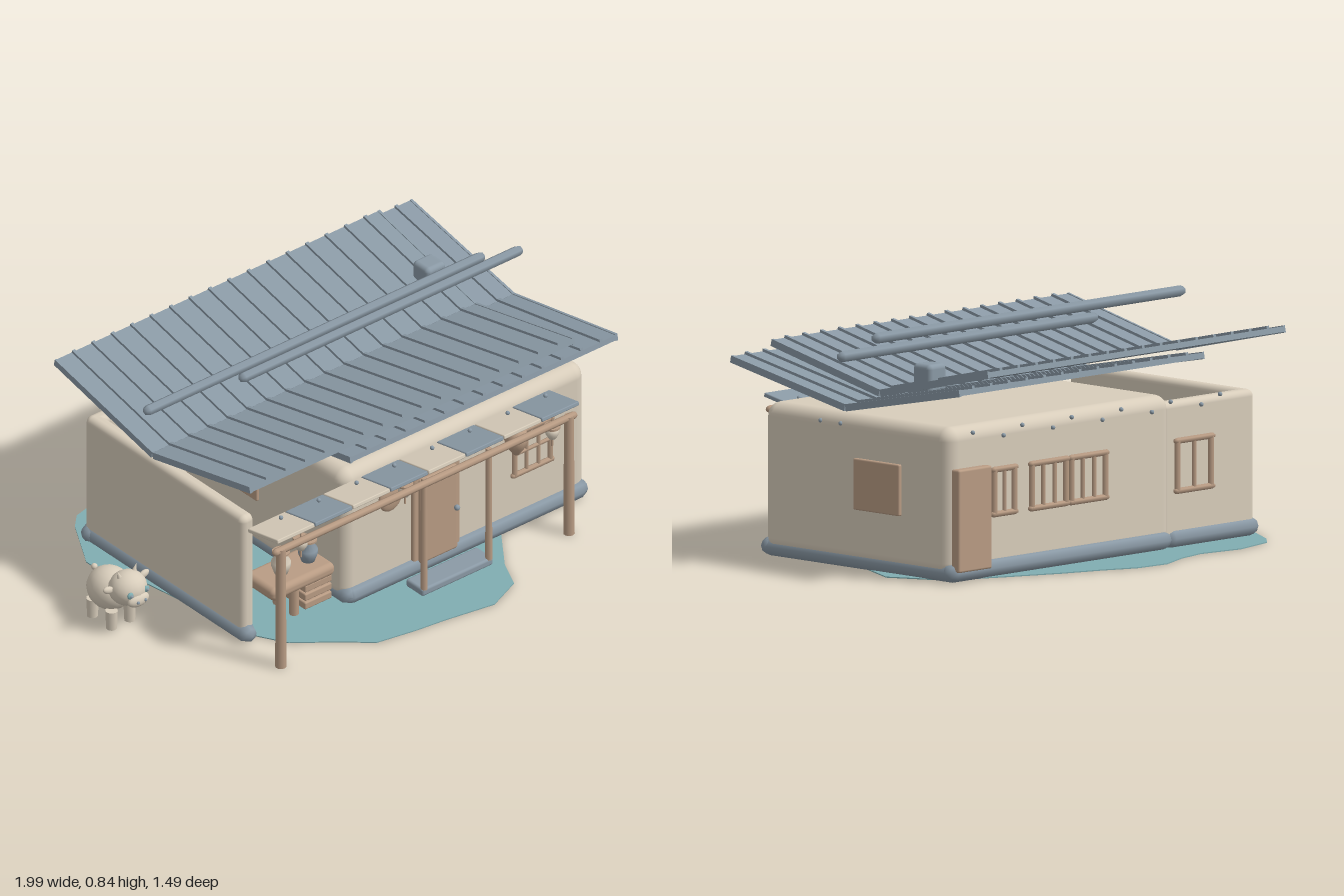
import * as THREE from 'three';
import { RoundedBoxGeometry } from 'three/addons/geometries/RoundedBoxGeometry.js';

const mat = (name, color) => Object.assign(new THREE.MeshStandardMaterial({ color }), { name });

export function createModel() {
  const cream = mat('cream plaster', 0xd8cdbb);
  const wood = mat('warm wood', 0xb99c84);
  const slate = mat('slate grey', 0x8b9aa6);
  const teal = mat('teal ground', 0x80adb1);
  const root = new THREE.Group();
  root.name = 'house';

  const group = (name, parent = root) => {
    const g = new THREE.Group();
    g.name = name;
    parent.add(g);
    return g;
  };
  const add = (parent, name, geo, m, x, y, z) => {
    const mesh = new THREE.Mesh(geo, m);
    mesh.name = name;
    mesh.position.set(x, y, z);
    parent.add(mesh);
    return mesh;
  };
  // Rounded block given by its limits
  const block = (parent, name, m, [x0, x1], [y0, y1], [z0, z1], r = 0.006, seg = 2) =>
    add(parent, name, new RoundedBoxGeometry(x1 - x0, y1 - y0, z1 - z0, seg, r), m,
      (x0 + x1) / 2, (y0 + y1) / 2, (z0 + z1) / 2);
  // Round-ended log between two points
  const log = (parent, name, m, a, b, r, sides = 8) => {
    const p = new THREE.Vector3(...a), q = new THREE.Vector3(...b), d = q.clone().sub(p);
    const c = p.clone().add(q).multiplyScalar(0.5);
    const mesh = add(parent, name, new THREE.CapsuleGeometry(r, Math.max(d.length() - 2 * r, 0.001), 2, sides), m, c.x, c.y, c.z);
    mesh.quaternion.setFromUnitVectors(new THREE.Vector3(0, 1, 0), d.normalize());
    return mesh;
  };
  const ball = (parent, name, m, x, y, z, r, sx = 1, sy = 1, sz = 1) => {
    const mesh = add(parent, name, new THREE.SphereGeometry(r, 16, 12), m, x, y, z);
    mesh.scale.set(sx, sy, sz);
    return mesh;
  };
  const lathe = (parent, name, m, pts, x, y, z) =>
    add(parent, name, new THREE.LatheGeometry(pts.map(p => new THREE.Vector2(...p)), 14), m, x, y, z);

  // Irregular ground patch
  const outline = [[-0.62, -0.6], [-0.57, -0.65], [-0.4, -0.69], [-0.22, -0.665], [-0.1, -0.69], [0.03, -0.745],
    [0.17, -0.735], [0.3, -0.68], [0.45, -0.63], [0.66, -0.54], [0.85, -0.45], [0.95, -0.25], [0.84, -0.02],
    [0.64, 0.22], [0.5, 0.42], [0.39, 0.57], [0.34, 0.68], [0.2, 0.74], [0, 0.705], [-0.12, 0.69], [-0.28, 0.66],
    [-0.38, 0.57], [-0.52, 0.46], [-0.61, 0.3], [-0.63, 0.05], [-0.66, -0.15], [-0.735, -0.32], [-0.735, -0.4]];
  const patch = new THREE.ExtrudeGeometry(
    new THREE.Shape(outline.map(([x, z]) => new THREE.Vector2(x, -z))), { depth: 0.004, bevelEnabled: false });
  add(root, 'groundPatch', patch.rotateX(-Math.PI / 2), teal, 0, 0, 0);

  // Main room and the two walls around the open side yard
  const walls = group('walls');
  block(walls, 'mainRoom', cream, [-0.225, 0.907], [0.02, 0.557], [-0.52, 0.408], 0.05, 4);
  block(walls, 'yardBackWall', cream, [-0.65, -0.18], [0.02, 0.53], [-0.515, -0.455], 0.025, 3);
  block(walls, 'yardSideWall', cream, [-0.65, -0.59], [0.02, 0.53], [-0.515, 0.36], 0.025, 3);

  // Round foundation logs
  const base = group('foundation');
  [[[-0.22, 0.397], [0.91, 0.397]], [[-0.22, -0.505], [0.91, -0.505]], [[0.872, -0.535], [0.872, 0.43]],
    [[-0.19, -0.535], [-0.19, 0.43]], [[-0.67, -0.495], [-0.2, -0.495]], [[-0.625, -0.53], [-0.625, 0.39]]]
    .forEach(([a, b]) => log(base, 'foundationLog', slate, [a[0], 0.037, a[1]], [b[0], 0.037, b[1]], 0.036));

  // Two overlapping valley roofs with ribs
  const roof = (name, x0, x1, yMid, yEnd, half) => {
    const g = group(name);
    const rise = yEnd - yMid, len = Math.hypot(half, rise), w = x1 - x0;
    for (const s of [1, -1]) {
      const slope = group('roofSlope', g);
      slope.position.set((x0 + x1) / 2, yMid, -0.055);
      slope.rotation.x = -s * Math.atan2(rise, half);
      add(slope, 'roofSheet', new THREE.BoxGeometry(w, 0.02, len), slate, 0, -0.012, s * len / 2);
      for (let x = x0 + 0.085; x < x1 - 0.03; x += 0.09)
        add(slope, 'roofRib', new THREE.BoxGeometry(0.013, 0.012, len), slate, x - (x0 + x1) / 2, 0.002, s * len / 2);
      for (const e of [-1, 1])
        add(slope, 'roofEdge', new THREE.BoxGeometry(0.01, 0.026, len), slate, e * (w / 2 - 0.005), -0.012, s * len / 2);
    }
  };
  roof('upperRoof', -0.72, 0.785, 0.635, 0.758, 0.537);
  roof('lowerRoof', -0.28, 0.96, 0.602, 0.715, 0.567);
  log(root, 'upperRidgePole', slate, [-0.757, 0.822, -0.055], [0.818, 0.822, -0.055], 0.02, 6);
  log(root, 'lowerRidgePole', slate, [-0.315, 0.775, -0.055], [0.993, 0.775, -0.055], 0.02, 6);
  block(root, 'chimney', slate, [0.675, 0.765], [0.62, 0.745], [-0.285, -0.197], 0.018, 3);

  // Porch: awning boards, beam, posts and step
  const porch = group('porch');
  for (let i = 0; i < 8; i++) {
    const x = -0.576 + i * 0.175;
    const board = block(porch, 'awningBoard', i % 2 ? slate : cream, [x - 0.086, x + 0.086], [0.519, 0.535], [0.402, 0.572], 0.004, 1);
    board.rotation.x = -0.2;
    ball(porch, 'awningStud', slate, x + 0.03, 0.54, 0.45, 0.008);
  }
  log(porch, 'porchBeam', wood, [-0.672, 0.492, 0.555], [0.735, 0.492, 0.555], 0.014);
  for (const x of [-0.635, 0.7]) add(porch, 'porchPost', new THREE.CylinderGeometry(0.018, 0.021, 0.5, 10), wood, x, 0.25, 0.555);
  for (const x of [0.045, 0.345]) add(porch, 'doorPost', new THREE.CylinderGeometry(0.011, 0.013, 0.47, 8), wood, x, 0.265, 0.535);
  block(porch, 'doorStep', slate, [0.03, 0.36], [0.004, 0.036], [0.45, 0.545], 0.01);

  // Doors
  const frame = (g, x0, x1, y0, y1, z, r) => {
    for (const x of [x0, x1]) log(g, 'frameUpright', wood, [x, y0 - r, z], [x, y1 + r, z], r, 6);
    for (const y of [y0, y1]) log(g, 'frameRail', wood, [x0 - r * 1.6, y, z], [x1 + r * 1.6, y, z], r, 6);
  };
  const door = group('frontDoor');
  block(door, 'doorFrame', wood, [0.092, 0.312], [0.04, 0.43], [0.395, 0.42], 0.012);
  block(door, 'doorPanel', wood, [0.115, 0.29], [0.05, 0.405], [0.405, 0.435], 0.012);
  ball(door, 'doorKnob', slate, 0.27, 0.237, 0.45, 0.011);
  block(root, 'backDoor', wood, [0.715, 0.885], [0.04, 0.41], [-0.55, -0.51], 0.008);

  // Framed windows with glazing bars
  const windowFrame = (name, x0, x1, y0, y1, z, bars) => {
    const g = group(name);
    frame(g, x0, x1, y0, y1, z, 0.011);
    for (let i = 1; i <= bars; i++) {
      const x = x0 + (x1 - x0) * i / (bars + 1);
      log(g, 'windowBar', wood, [x, y0, z], [x, y1, z], 0.008, 6);
    }
    return g;
  };
  const front = windowFrame('frontWindow', 0.56, 0.725, 0.237, 0.41, 0.422, 2);
  log(front, 'windowCrossbar', wood, [0.56, 0.325, 0.422], [0.725, 0.325, 0.422], 0.008, 6);
  windowFrame('backWindowSmall', 0.59, 0.69, 0.23, 0.39, -0.535, 1);
  windowFrame('backWindowWideA', 0.33, 0.5, 0.23, 0.39, -0.535, 2);
  windowFrame('backWindowWideB', 0.13, 0.3, 0.23, 0.39, -0.535, 2);
  windowFrame('backWindowYard', -0.41, -0.24, 0.21, 0.39, -0.53, 1);
  block(root, 'sideShutter', wood, [0.895, 0.921], [0.22, 0.405], [-0.285, -0.055], 0.006);
  block(root, 'yardShutter', wood, [-0.236, -0.21], [0.22, 0.42], [-0.285, -0.055], 0.006);

  // Hanging decorations
  const hung = group('hangingDecorations');
  ball(hung, 'wallDisc', wood, -0.01, 0.385, 0.415, 0.06, 0.9, 1, 0.25);
  lathe(hung, 'gourd', wood, [[0, -0.065], [0.012, -0.055], [0.036, -0.02], [0.045, 0.012], [0.036, 0.042], [0.014, 0.06], [0, 0.063]], 0.535, 0.415, 0.46);
  for (const [x, y, z] of [[-0.505, 0.445, 0.51], [0.02, 0.425, 0.46], [0.66, 0.425, 0.51]]) {
    lathe(hung, 'lantern', cream, [[0, -0.028], [0.014, -0.026], [0.025, -0.006], [0.024, 0.01], [0.013, 0.022], [0, 0.024]], x, y, z);
    add(hung, 'lanternCap', new THREE.CylinderGeometry(0.03, 0.03, 0.008, 12), wood, x, y + 0.022, z);
    add(hung, 'lanternCord', new THREE.CylinderGeometry(0.003, 0.003, 0.06, 6), wood, x, y + 0.05, z);
    add(hung, 'lanternTassel', new THREE.CylinderGeometry(0.004, 0.004, 0.035, 6), wood, x, y - 0.042, z);
  }

  // Bench with jars and a crate in the side yard
  const bench = group('bench');
  block(bench, 'benchTop', wood, [-0.515, -0.222], [0.118, 0.17], [0.2, 0.37], 0.022, 3);
  for (const z of [0.24, 0.33]) add(bench, 'benchLeg', new THREE.CylinderGeometry(0.018, 0.018, 0.12, 8), wood, -0.385, 0.06, z);
  for (let i = 0; i < 3; i++) block(bench, 'crateSlat', wood, [-0.35, -0.225], [0.012 + i * 0.036, 0.042 + i * 0.036], [0.23, 0.35], 0.006);
  const jar = [[0, 0], [0.024, 0], [0.035, 0.03], [0.036, 0.05], [0.02, 0.076], [0.03, 0.088], [0, 0.088]];
  for (const [x, m] of [[-0.412, cream], [-0.287, slate]]) {
    lathe(bench, 'jar', m, jar, x, 0.168, 0.29);
    add(bench, 'jarLid', new THREE.CylinderGeometry(0.033, 0.033, 0.007, 12), wood, x, 0.257, 0.29);
  }

  // Loose studs below the eaves
  const studs = group('eaveStuds');
  for (let i = 0; i < 11; i++) ball(studs, 'eaveStud', slate, 0.82 - i * 0.125, i % 2 ? 0.52 : 0.54, i % 2 ? -0.585 : -0.555, 0.008);
  for (const z of [0.02, 0.12]) ball(studs, 'sideStud', slate, 0.905, 0.52, z, 0.008);

  // Farm animal beside the house
  const pig = group('pig');
  pig.position.set(-0.895, 0, 0);
  ball(pig, 'body', cream, 0, 0.125, -0.08, 0.085, 0.94, 0.94, 1.05);
  ball(pig, 'head', cream, 0, 0.175, 0.02, 0.072, 1, 0.9, 0.95);
  ball(pig, 'snout', cream, 0, 0.152, 0.078, 0.035, 1.35, 0.75, 0.6);
  ball(pig, 'tail', cream, 0, 0.17, -0.165, 0.012);
  for (const s of [-1, 1]) {
    const ear = ball(pig, 'ear', cream, s * 0.082, 0.192, 0.01, 0.022, 1.1, 0.65, 0.5);
    ear.rotation.z = s * 0.3;
    const horn = add(pig, 'horn', new THREE.ConeGeometry(0.011, 0.035, 8), cream, s * 0.038, 0.24, 0.015);
    horn.rotation.z = -s * 0.3;
    ball(pig, 'eye', teal, s * 0.037, 0.182, 0.078, 0.013, 1, 1, 0.6);
    ball(pig, 'pupil', slate, s * 0.037, 0.182, 0.085, 0.006);
    ball(pig, 'nostril', slate, s * 0.017, 0.154, 0.098, 0.006);
    for (const z of [-0.125, -0.02])
      add(pig, 'leg', new THREE.CylinderGeometry(0.023, 0.02, 0.075, 10), cream, s * 0.042, 0.0375, z);
  }
  return root;
}
